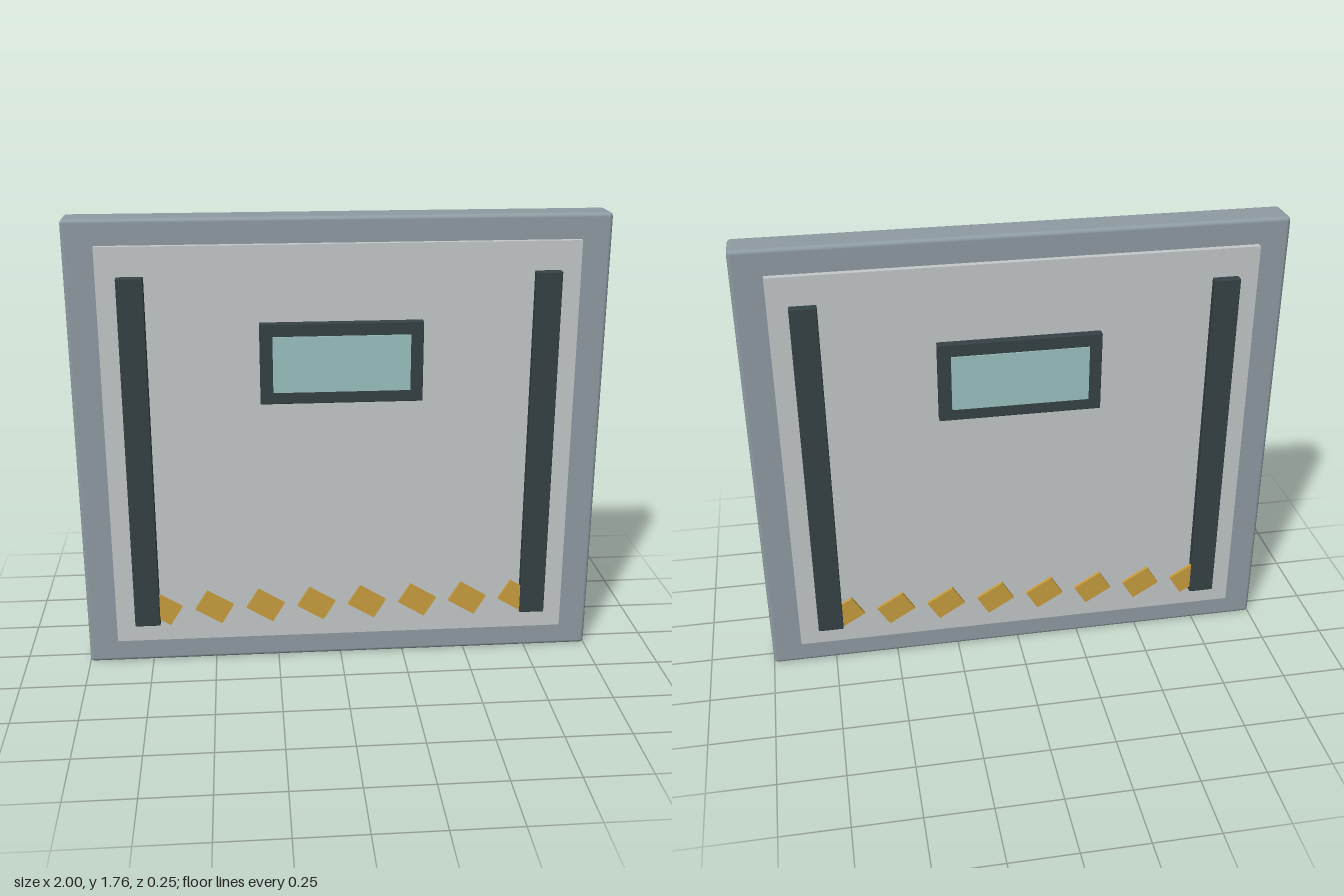
import * as THREE from 'three';
import { RoundedBoxGeometry } from 'three/addons/geometries/RoundedBoxGeometry.js';

function material(name, color) {
  const m = new THREE.MeshStandardMaterial({ color });
  m.name = name;
  return m;
}

export function createModel() {
  const group = new THREE.Group();
  group.name = 'slidingDoor';
  const steel = material('blue grey steel', 0x8f9ca3);
  const pale = material('pale grey panel', 0xc5c9c9);
  const dark = material('dark trim', 0x364246);
  const glass = material('pale teal glass', 0x9cc2c2);
  const amber = material('amber hazard', 0xc99e3e);

  // Box centred at x, y, z; a radius softens its edges
  function box(name, mat, [w, h, d], [x, y, z], radius = 0) {
    const geometry = radius
      ? new RoundedBoxGeometry(w, h, d, 2, radius)
      : new THREE.BoxGeometry(w, h, d);
    const mesh = new THREE.Mesh(geometry, mat);
    mesh.name = name;
    mesh.position.set(x, y, z);
    group.add(mesh);
    return mesh;
  }

  // Door slab, and the panel standing proud of both its faces
  box('doorSlab', steel, [2, 1.76, 0.134], [0, 0.88, 0], 0.015);
  box('insetPanel', pale, [1.77, 1.565, 0.18], [0, 0.8825, 0]);

  // Fittings repeated on the front and back
  for (const side of [1, -1]) {
    const end = side > 0 ? 'front' : 'back';

    // Window surround with glass slightly raised
    box(end + 'WindowFrame', dark, [0.605, 0.305, 0.034], [0, 1.2275, side * 0.103], 0.003);
    box(end + 'WindowGlass', glass, [0.51, 0.212, 0.008], [0, 1.226, side * 0.121]);

    // Upright rails
    for (const x of [-0.762, 0.762]) {
      box(end + 'Rail', dark, [0.098, 1.38, 0.034], [x, 0.866, side * 0.103], 0.004);
    }

    // Row of tilted hazard plates
    for (let i = 0; i < 8; i++) {
      const plate = box(end + 'HazardPlate', amber, [0.12, 0.09, 0.013], [-0.7 + i * 0.2, 0.245, side * 0.108]);
      plate.rotation.z = -0.55;
    }
  }
  return group;
}
